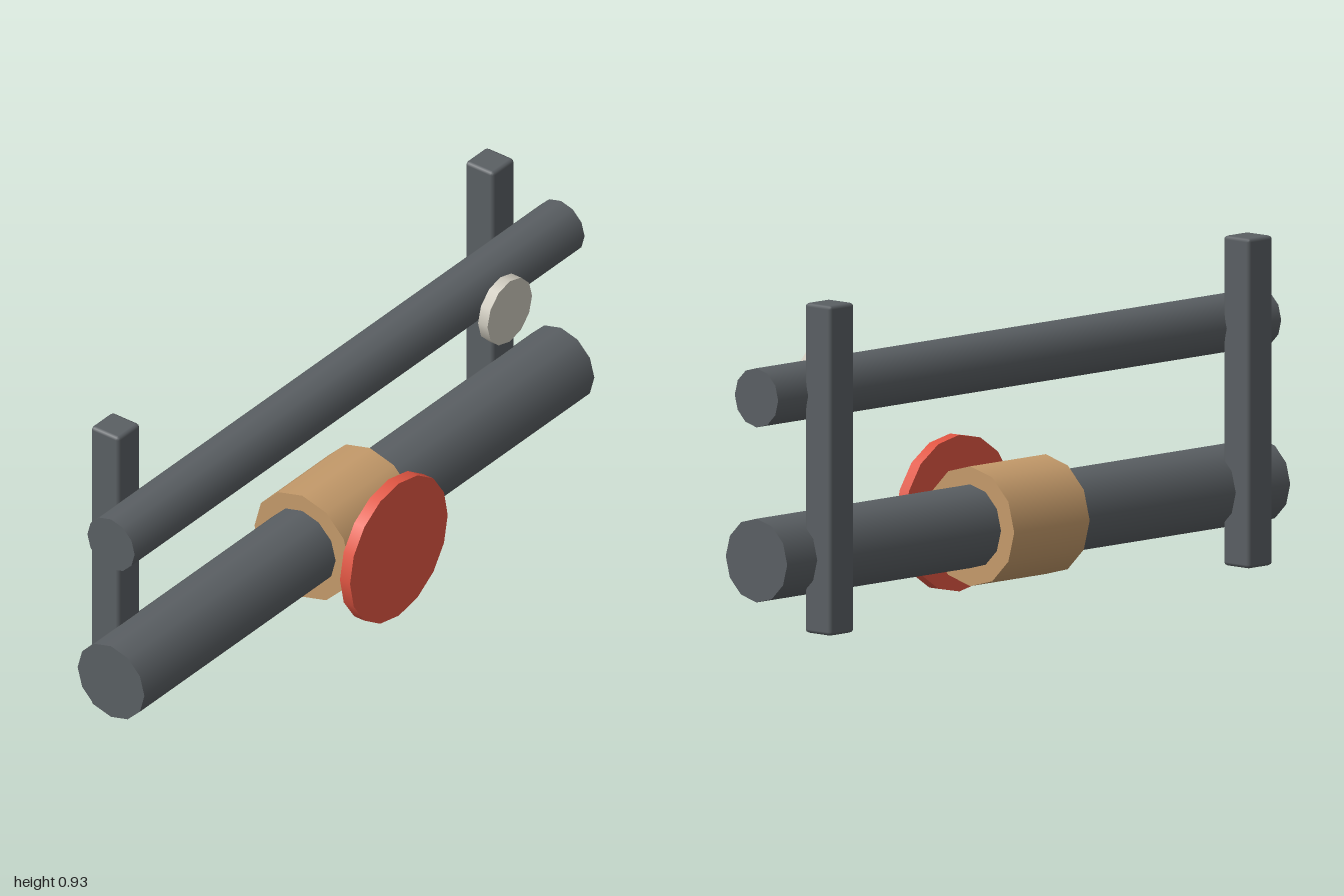
import * as THREE from 'three';
import { RoundedBoxGeometry } from 'three/addons/geometries/RoundedBoxGeometry.js';

const steel = new THREE.MeshStandardMaterial({ color: 0x5a5f63 });
const brass = new THREE.MeshStandardMaterial({ color: 0xc49a6a });
const red = new THREE.MeshStandardMaterial({ color: 0xe05542 });
const cream = new THREE.MeshStandardMaterial({ color: 0xcac6ba });

const PIPE_Z = -0.025;
const LOWER_Y = 0.217;
const UPPER_Y = 0.668;

export function createModel() {
  const model = new THREE.Group();
  model.name = 'pipeRack';

  const add = (name, geometry, material, x, y, z) => {
    const mesh = new THREE.Mesh(geometry, material);
    mesh.name = name;
    mesh.position.set(x, y, z);
    model.add(mesh);
  };
  // Cylinder lying along x
  const pipe = (radius, length) =>
    new THREE.CylinderGeometry(radius, radius, length, 12).rotateZ(Math.PI / 2);
  // Flat disc facing +z
  const disc = (radius, depth, sides) =>
    new THREE.CylinderGeometry(radius, radius, depth, sides).rotateX(Math.PI / 2);

  // Horizontal pipes
  add('lowerPipe', pipe(0.116, 2), steel, 0, LOWER_Y, PIPE_Z);
  add('upperPipe', pipe(0.082, 2), steel, 0, UPPER_Y, PIPE_Z);

  // Valve collar and hand wheel
  add('valveCollar', pipe(0.166, 0.3), brass, 0, LOWER_Y, PIPE_Z);
  add('valveWheel', disc(0.217, 0.035, 16), red, 0, LOWER_Y, 0.176);

  // Gauge in front of the upper pipe
  add('gauge', disc(0.099, 0.033, 12), cream, 0.58, UPPER_Y, 0.109);

  // Upright brackets behind the pipes, with chamfered edges
  for (const [name, side] of [['leftBracket', 1], ['rightBracket', -1]]) {
    add(name, new RoundedBoxGeometry(0.097, 0.914, 0.098, 1, 0.01), steel, side * 0.832, 0.468, -0.141);
  }

  return model;
}
